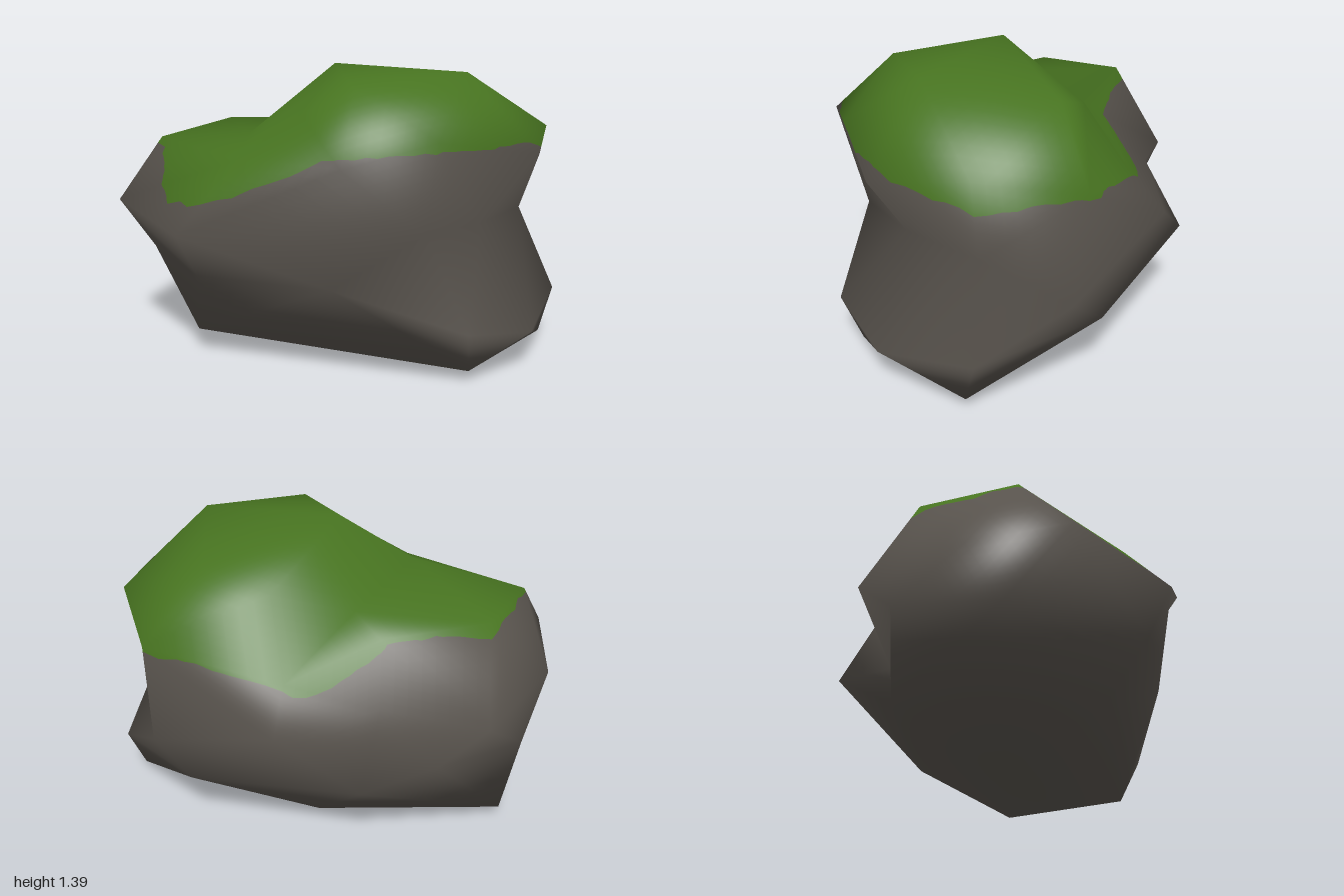
import * as THREE from 'three';

// Cross-sections of the boulder, bottom to top. Each runs from +x round by +z.
// A gap (null) shares the previous corner, so facets fan out from it.
const _ = null;
const RINGS = [
  [[.85, .055, .14], _, _, [-.37, .12, .64], _, [-.93, .06, -.05], _, _, [-.15, .05, -.46], _, [.84, .05, -.55]],
  [[1, .19, -.16], [.9, .26, .23], [.4, .45, .57], [-.22, .45, .78], [-.9, .41, .45], [-1, .46, -.03],
   [-.68, .35, -.26], [-.5, .45, -.72], _, [.3, .35, -.86], [.87, .265, -.63]],
  [[.75, .68, -.1], [.68, .68, .25], _, [-.22, .66, .9], [-.82, .72, .73], [-1, .65, .33],
   [-.92, .65, -.28], [-.48, .75, -.5], [-.15, .7, -.85], [.5, .5, -.86], [.72, .68, -.52]],
  [[1, 1.02, -.16], [.76, 1.1, .29], [.53, 1.01, .66], [-.1, .98, .63], [-.8, 1.005, .46], _,
   [-.81, 1.055, -.05], [-.38, .97, -.28], [-.1, .87, -.68], [.47, 1.02, -.9], [.82, 1.09, -.58]],
  [[.65, 1.367, -.11], _, [.38, 1.31, .38], [.1, 1.18, .41], [-.23, 1.065, .41], _,
   [-.24, 1.075, -.27], _, [.05, 1.2, -.52], [.33, 1.305, -.62], _],
];
const BOTTOM = [-.15, 0, .03], TOP = [-.01, 1.388, .03];

// Height of the moss edge at each angle (degrees) round the boulder
const MOSS_EDGE = [[-180, 1.01], [-150, .97], [-108, .82], [-90, .88], [-62, 1], [-37, .92], [-12, 1.06],
  [30, 1.06], [52, 1.05], [75, .92], [104, .78], [121, .77], [138, .91], [149, .99], [166, 1], [180, 1.01]];

function mossDepth(p) {
  const a = THREE.MathUtils.radToDeg(Math.atan2(p.z, p.x));
  let i = 0;
  while (i < MOSS_EDGE.length - 2 && a > MOSS_EDGE[i + 1][0]) i++;
  const [[a0, h0], [a1, h1]] = [MOSS_EDGE[i], MOSS_EDGE[i + 1]];
  const ragged = .008 * Math.sin(p.x * 31 + p.z * 23) + .005 * Math.sin(p.z * 57 - p.x * 41);
  return p.y - THREE.MathUtils.lerp(h0, h1, (a - a0) / (a1 - a0)) - ragged;
}

// Closed low-poly hull through the cross-sections
function hull() {
  const pts = [], faces = [], n = RINGS[0].length;
  const addPoint = p => pts.push(new THREE.Vector3(...p)) - 1;
  const addFace = (a, b, c) => { if (a !== b && b !== c && c !== a) faces.push([a, b, c]); };
  const rings = RINGS.map(ring => ring.map(p => p ? addPoint(p) : pts.length - 1));
  const bottom = addPoint(BOTTOM), top = addPoint(TOP), last = rings[rings.length - 1];
  for (let j = 0; j < n; j++) {
    const k = (j + 1) % n;
    addFace(bottom, rings[0][j], rings[0][k]);
    addFace(top, last[k], last[j]);
    for (let r = 0; r < rings.length - 1; r++) {
      const a = rings[r][j], b = rings[r][k], c = rings[r + 1][j], d = rings[r + 1][k];
      // Split along the shorter diagonal
      const e = pts[b].distanceTo(pts[c]) < pts[a].distanceTo(pts[d]);
      addFace(a, c, e ? b : d);
      addFace(b, e ? c : a, d);
    }
  }
  const geo = new THREE.BufferGeometry().setFromPoints(pts);
  geo.setIndex(faces.flat());
  geo.computeVertexNormals();
  const normals = pts.map((p, i) => new THREE.Vector3().fromBufferAttribute(geo.attributes.normal, i));
  return { pts, normals, faces };
}

const mix = (u, v, t) => ({ p: u.p.clone().lerp(v.p, t), n: u.n.clone().lerp(v.n, t) });

// Keep the side of a polygon where sign * mossDepth is positive
function clip(poly, sign) {
  const out = [];
  poly.forEach((u, i) => {
    const v = poly[(i + 1) % poly.length], du = sign * mossDepth(u.p), dv = sign * mossDepth(v.p);
    if (du >= 0) out.push(u);
    if (du * dv < 0) out.push(mix(u, v, du / (du - dv)));
  });
  return out;
}

function surface(name, material, triangles, sign) {
  const pos = [], nor = [];
  for (const tri of triangles) {
    const poly = clip(tri, sign);
    for (let i = 1; i < poly.length - 1; i++) {
      for (const v of [poly[0], poly[i], poly[i + 1]]) {
        pos.push(...v.p.toArray());
        nor.push(...v.n.clone().normalize().toArray());
      }
    }
  }
  const geo = new THREE.BufferGeometry();
  geo.setAttribute('position', new THREE.Float32BufferAttribute(pos, 3));
  geo.setAttribute('normal', new THREE.Float32BufferAttribute(nor, 3));
  const mesh = new THREE.Mesh(geo, material);
  mesh.name = name;
  return mesh;
}

export function createModel() {
  const rock = new THREE.MeshStandardMaterial({ color: 0x57524c });
  rock.name = 'rock grey';
  const moss = new THREE.MeshStandardMaterial({ color: 0x477320 });
  moss.name = 'moss green';

  // Divide each facet finely enough for a smooth moss edge
  const { pts, normals, faces } = hull();
  const triangles = [], N = 8;
  for (const f of faces) {
    const [a, b, c] = f.map(i => ({ p: pts[i], n: normals[i] }));
    const at = (i, j) => i === 0 ? mix(a, a, 0) : mix(mix(a, b, i / N), mix(a, c, i / N), j / i);
    for (let i = 0; i < N; i++) {
      for (let j = 0; j <= i; j++) {
        triangles.push([at(i, j), at(i + 1, j), at(i + 1, j + 1)]);
        if (j < i) triangles.push([at(i, j), at(i + 1, j + 1), at(i, j + 1)]);
      }
    }
  }

  const group = new THREE.Group();
  group.name = 'mossyBoulder';
  group.add(surface('boulder', rock, triangles, -1), surface('mossCap', moss, triangles, 1));
  return group;
}
